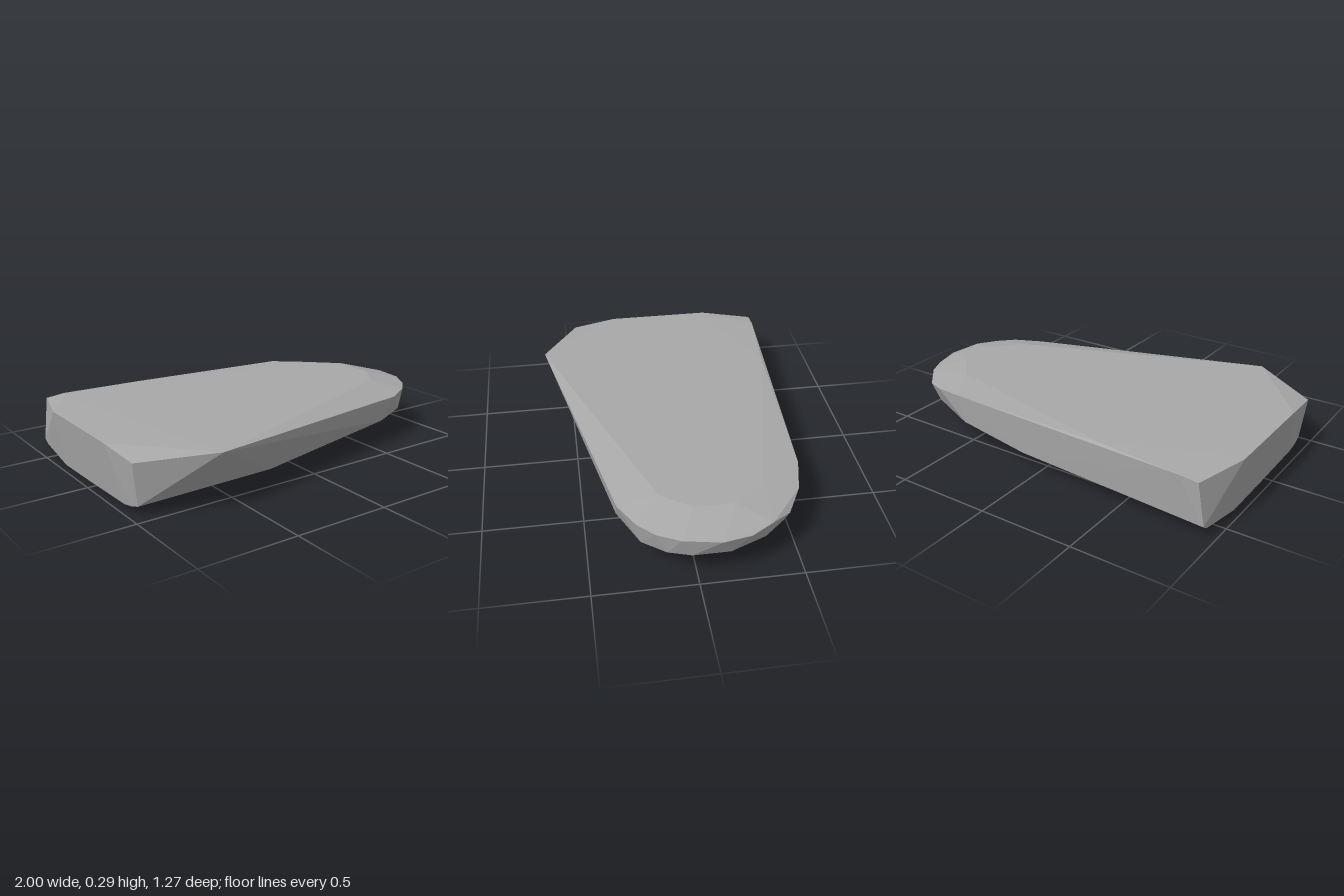
import * as THREE from 'three';
import { ConvexGeometry } from 'three/addons/geometries/ConvexGeometry.js';

// Faceted flat stone: the convex skin over a few cross-section rings.
export function createModel() {
  const group = new THREE.Group();
  group.name = 'stone';
  const stoneGrey = new THREE.MeshStandardMaterial({ color: 0xa8a8a8 });
  stoneGrey.name = 'stoneGrey';

  // Flat top face
  const top = [
    [-0.63, 0.295, 0.635], [-1, 0.29, 0.2], [-1, 0.29, -0.36], [-0.82, 0.295, -0.4],
    [-0.4, 0.295, -0.6], [0.65, 0.295, -0.36], [0.8, 0.295, -0.2], [0.8, 0.295, 0], [0.69, 0.295, 0.15],
  ];
  // Widest outline, sloping down round the nose
  const rim = [
    [-0.98, 0.26, 0.44], [-0.92, 0.28, -0.64], [-0.82, 0.29, -0.64],
    [0.53, 0.28, -0.565], [0.7, 0.26, -0.525], [0.83, 0.23, -0.45], [0.91, 0.255, -0.35],
    [0.97, 0.245, -0.24], [1, 0.25, -0.1], [0.97, 0.255, 0.08], [0.91, 0.25, 0.19],
    [0.83, 0.25, 0.27], [0.69, 0.245, 0.345],
  ];
  // Lower edge where the sides meet the underside
  const lowerEdge = [
    [-0.955, 0.045, 0.43], [-0.2, 0.04, 0.4], [0.28, 0.1, 0.37], [0.6, 0.122, 0.345],
    [0.82, 0.13, 0.25], [0.92, 0.145, 0.14], [0.96, 0.15, 0.03], [0.955, 0.145, -0.15],
    [0.88, 0.145, -0.33], [0.78, 0.14, -0.44], [0.5, 0.13, -0.555],
    [0.1, 0.08, -0.575], [-0.95, 0.06, -0.628],
  ];
  // Underside, level at the broad end and rising to the nose
  const underside = [
    [-0.96, 0.03, 0.38], [-0.96, 0.015, 0.31], [-0.96, 0.006, 0], [-0.96, 0, -0.34],
    [-0.95, 0.02, -0.5], [-0.95, 0.04, -0.6], [0, 0.007, -0.25], [0, 0.01, 0.05],
    [0.85, 0.11, 0.05], [0.85, 0.11, -0.2], [0.6, 0.1, 0.22], [0.6, 0.1, -0.4],
  ];

  const points = [...top, ...rim, ...lowerEdge, ...underside].map((p) => new THREE.Vector3(...p));
  const stone = new THREE.Mesh(new ConvexGeometry(points), stoneGrey);
  stone.name = 'stoneBody';
  group.add(stone);
  return group;
}
